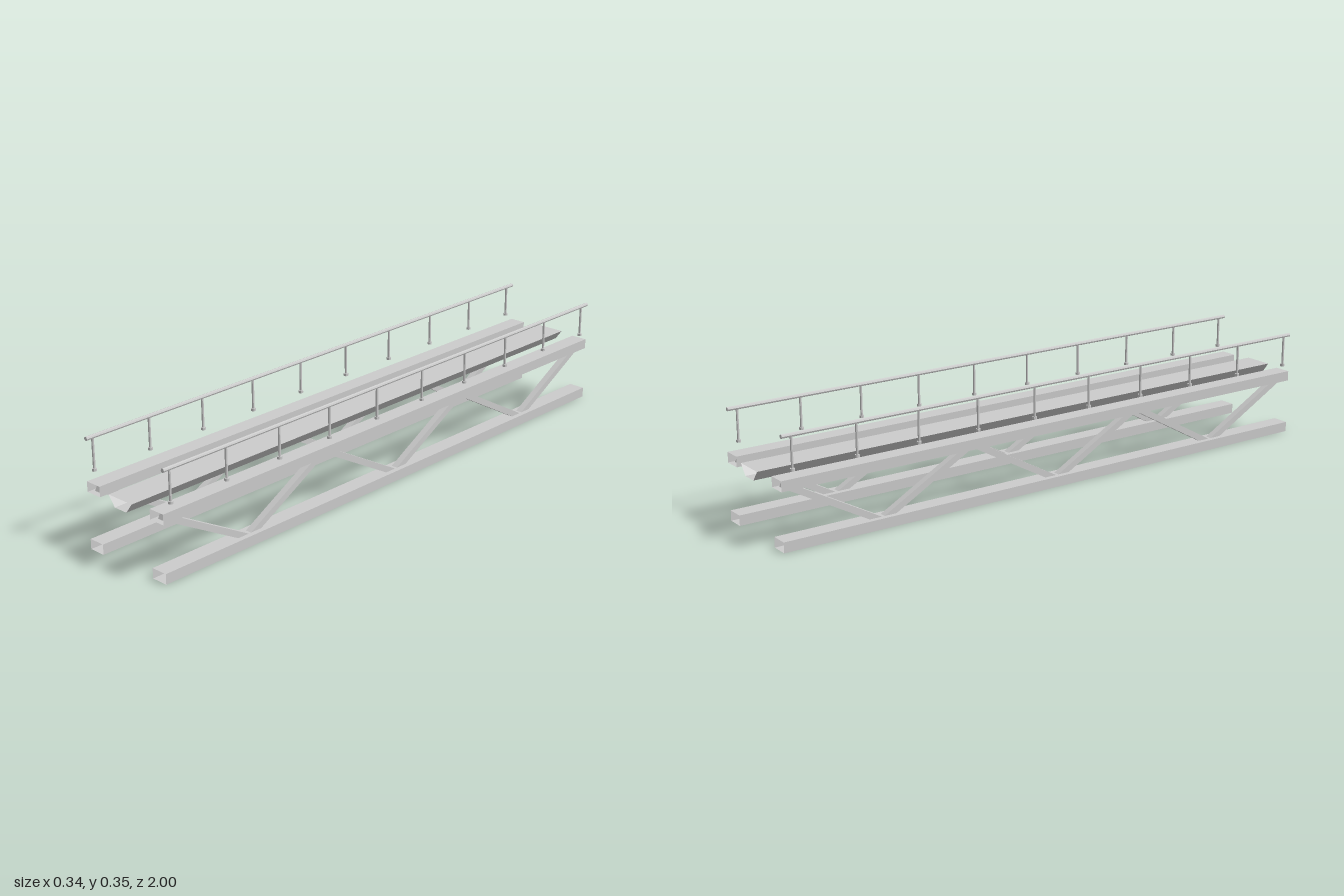
import * as THREE from 'three';

const material = new THREE.MeshStandardMaterial({ color: 0xcccccc, flatShading: true, side: THREE.DoubleSide });

function addMesh(parent, name, geometry, x = 0, y = 0, z = 0) {
  const mesh = new THREE.Mesh(geometry, material);
  mesh.name = name;
  mesh.position.set(x, y, z);
  parent.add(mesh);
  return mesh;
}

// Open-ended tube along z with a closed cross-section of [x, y] points
function openTube(points, length) {
  const positions = [];
  points.forEach(([ax, ay], i) => {
    const [bx, by] = points[(i + 1) % points.length];
    const h = length / 2;
    positions.push(ax, ay, h, ax, ay, -h, bx, by, -h);
    positions.push(ax, ay, h, bx, by, -h, bx, by, h);
  });
  const geometry = new THREE.BufferGeometry();
  geometry.setAttribute('position', new THREE.Float32BufferAttribute(positions, 3));
  geometry.computeVertexNormals();
  return geometry;
}

// One truss: hollow top and bottom chords joined by zigzag braces
function createTruss(side) {
  const truss = new THREE.Group();
  truss.name = side > 0 ? 'leftTruss' : 'rightTruss';
  const x = side * 0.137, w = 0.028, h = 0.0165;
  const section = [[-w, -h], [w, -h], [w, h], [-w, h]];
  addMesh(truss, 'bottomChord', openTube(section, 1.97), x, h, 0);
  addMesh(truss, 'topChord', openTube(section, 1.97), x, 0.2, 0);

  const step = 0.322, low = 0.019, high = 0.196;
  const length = Math.hypot(step, high - low);
  for (let i = 0; i < 6; i++) {
    const brace = addMesh(truss, 'diagonalBrace', new THREE.BoxGeometry(0.022, 0.02, length),
      x, (low + high) / 2, (2.5 - i) * step);
    const angle = Math.atan2(high - low, step);
    brace.rotation.x = i % 2 ? angle : -angle;
  }
  return truss;
}

// One handrail: a long rail on ten posts with small feet
function createHandrail(side) {
  const handrail = new THREE.Group();
  handrail.name = side > 0 ? 'leftHandrail' : 'rightHandrail';
  const x = side * 0.165;
  const rail = addMesh(handrail, 'rail', new THREE.CylinderGeometry(0.0065, 0.0065, 1.96, 8), x, 0.347, 0);
  rail.rotation.x = Math.PI / 2;
  for (let i = 0; i < 10; i++) {
    const z = (4.5 - i) * 0.2114 + 0.004;
    addMesh(handrail, 'post', new THREE.CylinderGeometry(0.004, 0.004, 0.1, 8), x, 0.295, z);
    addMesh(handrail, 'postFoot', new THREE.CylinderGeometry(0.0075, 0.0075, 0.008, 8), x, 0.244, z);
  }
  return handrail;
}

export function createModel() {
  const model = new THREE.Group();
  model.name = 'trussBridge';
  for (const side of [-1, 1]) model.add(createTruss(side), createHandrail(side));

  // Central hollow walkway with sloping sides
  const section = [[-0.025, 0.183], [0.025, 0.183], [0.05, 0.216], [-0.05, 0.216]];
  addMesh(model, 'walkway', openTube(section, 2));
  return model;
}
